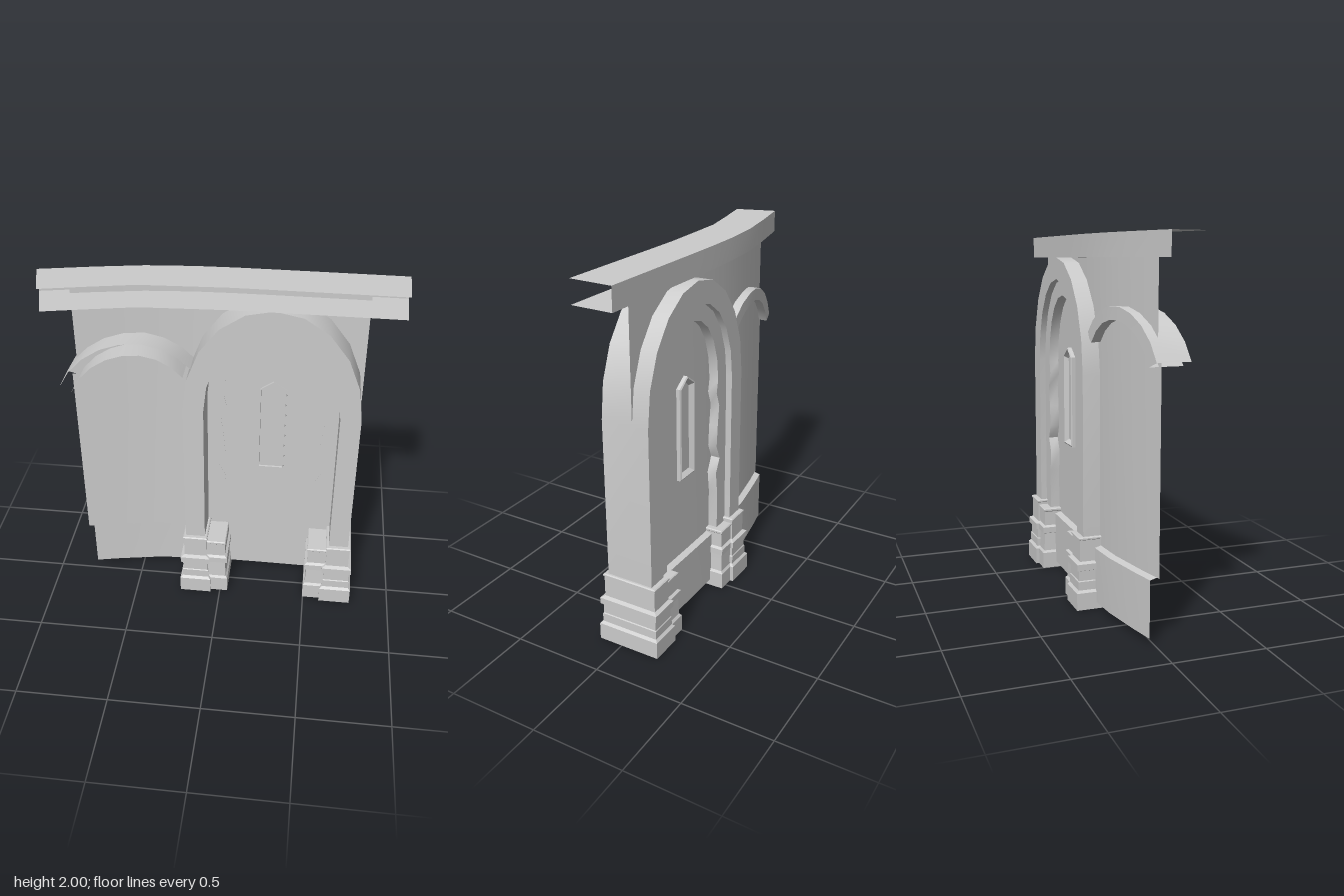
import * as THREE from 'three';
import { toCreasedNormals } from 'three/addons/utils/BufferGeometryUtils.js';

const material = new THREE.MeshStandardMaterial({ color: 0xcccccc, side: THREE.DoubleSide });
const ARCH_X = 0.27, SPRING_Y = 1.27;

// Plan curve of the building: back edge and front edge of the cornice, as [x, z]
const BACK = [[-0.93, 0], [-0.65, -0.06], [-0.4, -0.105], [-0.15, -0.125], [0.05, -0.13], [0.25, -0.13], [0.92, -0.125]];
const FRONT = [[-0.87, 0.22], [-0.62, 0.165], [-0.4, 0.12], [-0.18, 0.11], [0.05, 0.1], [0.25, 0.1], [0.91, 0.105]];

// z of the wall sheet at x, following the plan curve
function wallZ(x) {
  let i = 0;
  while (i < BACK.length - 2 && x > BACK[i + 1][0]) i++;
  const [x0, z0] = BACK[i], [x1, z1] = BACK[i + 1];
  return z0 + (z1 - z0) * (x - x0) / (x1 - x0) + 0.042;
}

function addMesh(parent, name, geometry, crease = 0.6) {
  const mesh = new THREE.Mesh(toCreasedNormals(geometry, crease), material);
  mesh.name = name;
  parent.add(mesh);
  return mesh;
}

// Skin through rows of [x, y, z] points, all rows of equal length
function skin(rows) {
  const n = rows[0].length, index = [];
  for (let r = 0; r < rows.length - 1; r++) {
    for (let c = 0; c < n - 1; c++) {
      const a = r * n + c, b = a + 1, d = a + n, e = d + 1;
      index.push(a, b, e, a, e, d);
    }
  }
  const g = new THREE.BufferGeometry();
  g.setAttribute('position', new THREE.Float32BufferAttribute(rows.flat(2), 3));
  g.setIndex(index);
  return g;
}

// Wall strip between two heights, bent along the plan curve
function wallStrip(x0, x1, levels) {
  const xs = [x0, ...BACK.map(p => p[0]).filter(x => x > x0 && x < x1), x1];
  return skin(levels.map(([y, dz]) => xs.map(x => [x, y, wallZ(x) + dz])));
}

// Points over the arch from right springing to left springing
function archPoints(rx, ry, segments = 10) {
  return Array.from({ length: segments + 1 }, (_, i) => {
    const a = Math.PI * i / segments;
    return new THREE.Vector2(ARCH_X + rx * Math.cos(a), SPRING_Y + ry * Math.sin(a));
  });
}

// Arched band with legs, extruded from z0 to z1; wear shifts the inner leg edges
function archBand(outer, inner, bottom, z0, z1, wear = []) {
  const [ro, ho] = outer, [ri, hi] = inner;
  const leg = (side) => wear.map(([y, d]) => new THREE.Vector2(ARCH_X + side * (ri + d), y));
  const shape = new THREE.Shape([
    new THREE.Vector2(ARCH_X + ro, bottom),
    ...archPoints(ro, ho),
    new THREE.Vector2(ARCH_X - ro, bottom),
    new THREE.Vector2(ARCH_X - ri, bottom),
    ...leg(-1),
    ...archPoints(ri, hi).reverse(),
    ...leg(1).reverse(),
    new THREE.Vector2(ARCH_X + ri, bottom),
  ]);
  return new THREE.ExtrudeGeometry(shape, { depth: z1 - z0, bevelEnabled: false }).translate(0, 0, z0);
}

// Moulded rectangular block, open below: profile holds [y, outward offset]
function mouldedBlock(x0, x1, z0, z1, profile) {
  const rows = profile.map(([y, o]) => [
    [x0 - o, y, z1 + o], [x1 + o, y, z1 + o], [x1 + o, y, z0 - o], [x0 - o, y, z0 - o], [x0 - o, y, z1 + o],
  ]);
  const top = profile[profile.length - 1][0], xm = (x0 + x1) / 2, zm = (z0 + z1) / 2;
  rows.push(rows[0].map(() => [xm, top, zm]));
  return skin(rows);
}

export function createModel() {
  const model = new THREE.Group();

  // Cornice: channel with top, back and underside
  addMesh(model, 'cornice', skin([
    FRONT.map(([x, z]) => [x, 2, z]),
    BACK.map(([x, z]) => [x, 2, z]),
    BACK.map(([x, z]) => [x, 1.88, z]),
    FRONT.map(([x, z]) => [x, 1.88, z]),
  ]));

  // Curved wall, wider panel below the side arch, and footing with ledge
  addMesh(model, 'upperWall', wallStrip(-0.77, 0.74, [[0.345, 0], [1.99, 0]]));
  addMesh(model, 'sidePanel', wallStrip(-0.8, -0.77, [[0.345, 0], [1.41, 0]]));
  addMesh(model, 'footing', wallStrip(-0.78, 0.74, [[0.035, -0.035], [0.335, -0.035], [0.345, 0]]));

  // Main arch and the worn inner order at the back
  addMesh(model, 'mainArch', archBand([0.47, 0.61], [0.36, 0.49], 0.36, -0.175, 0.09));
  addMesh(model, 'innerArch', archBand([0.38, 0.51], [0.27, 0.4], 0.33, -0.14, -0.085,
    [[0.6, 0], [0.72, -0.015], [0.8, 0.025], [0.88, -0.01], [1.0, 0], [1.12, 0.015], [1.2, -0.015]]));

  // Pier bases, mirrored about the arch axis
  const outerProfile = [[0, 0.025], [0.095, 0.025], [0.108, 0.012], [0.155, 0.012], [0.16, 0.008], [0.215, 0.008],
    [0.22, 0.02], [0.255, 0.02], [0.265, 0], [0.383, 0], [0.387, 0.006], [0.395, 0.006], [0.4, 0]];
  const innerProfile = [[0, 0.016], [0.095, 0.016], [0.108, 0.006], [0.155, 0.004], [0.215, 0.002],
    [0.22, 0.014], [0.255, 0.014], [0.265, 0], [0.35, 0], [0.355, 0.005], [0.365, 0.005], [0.37, 0]];
  for (const side of [-1, 1]) {
    const base = new THREE.Group();
    base.name = side < 0 ? 'rightPierBase' : 'leftPierBase';
    const span = (a, b) => [ARCH_X + side * a, ARCH_X + side * b].sort((p, q) => p - q);
    addMesh(base, 'outerBase', mouldedBlock(...span(0.48, 0.35), -0.197, 0.11, outerProfile), 0.3);
    addMesh(base, 'innerBase', mouldedBlock(...span(0.37, 0.242), -0.187, 0.097, innerProfile), 0.3);
    model.add(base);
  }

  // Hood mould over the side arch: channel with outer, back and inner faces
  const hood = [[0.402, 0.125], [0.402, -0.05], [0.335, -0.05], [0.335, 0.125]].map(([r, dz]) =>
    Array.from({ length: 9 }, (_, i) => {
      const a = THREE.MathUtils.degToRad(157 - i * 15);
      const x = -0.47 + r * Math.cos(a);
      return [x, 1.243 + r * Math.sin(a), wallZ(x) + dz];
    }));
  addMesh(model, 'hoodMould', skin(hood));

  // Narrow pointed window: bevelled rim on both faces of the wall
  const outline = (inset, z) => {
    const w = 0.073 - inset, b = 0.808 + inset, s = 1.325 - inset * 0.6, t = 1.375 - inset;
    return [[-w, b], [w, b], [w, s], [0, t], [-w, s], [-w, b]].map(([x, y]) => [ARCH_X + x, y, z]);
  };
  const zw = wallZ(ARCH_X);
  addMesh(model, 'windowFrameBack', skin([
    outline(0, zw), outline(0, zw - 0.02), outline(0.008, zw - 0.025), outline(0.028, zw - 0.002),
  ]), 0.3);
  addMesh(model, 'windowFrameFront', skin([
    outline(0, zw), outline(0, zw + 0.01), outline(0.005, zw + 0.01), outline(0.006, zw),
  ]), 0.3);

  return model;
}
